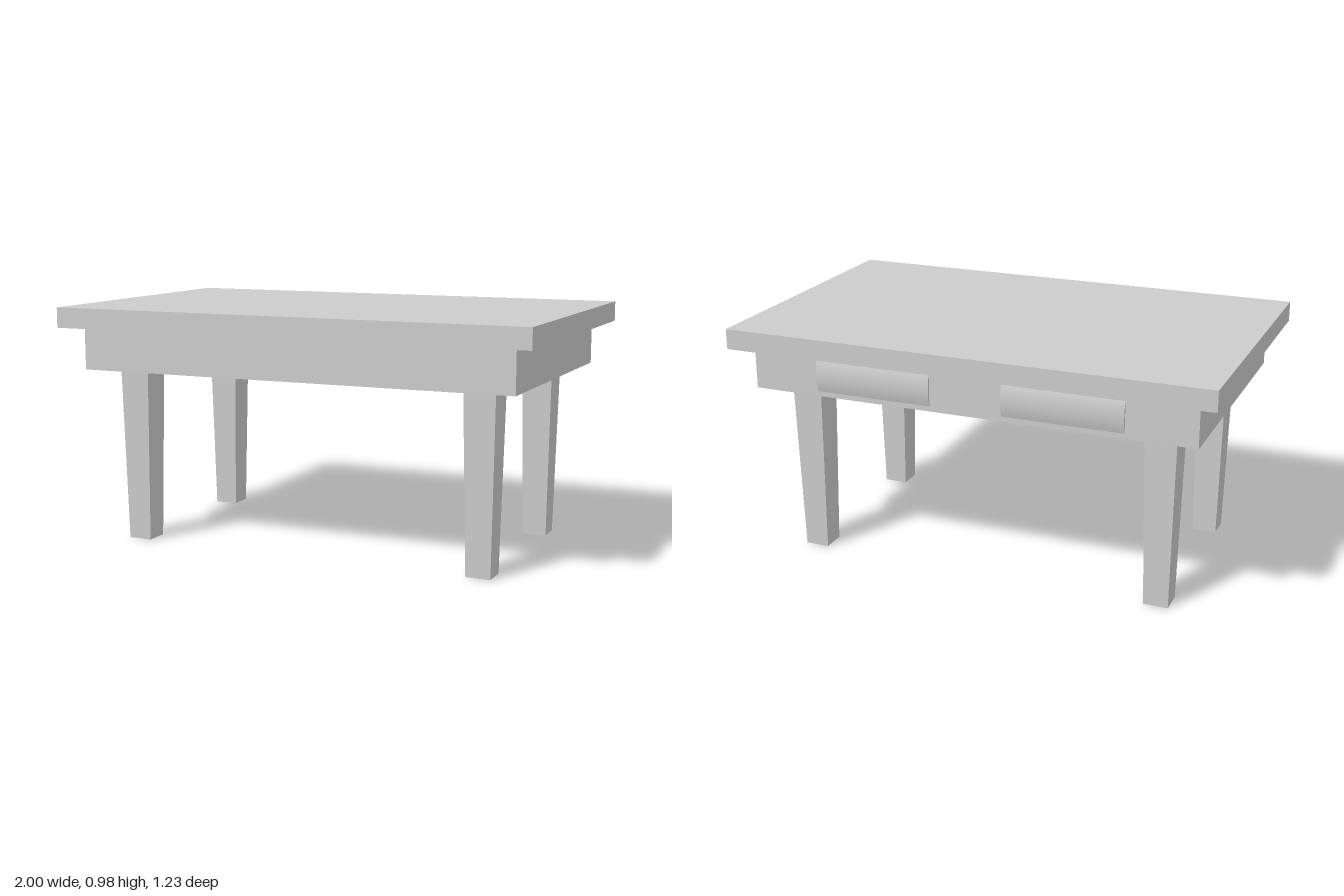
import * as THREE from 'three';
import { toCreasedNormals } from 'three/addons/utils/BufferGeometryUtils.js';

export function createModel() {
  const group = new THREE.Group();
  const material = new THREE.MeshStandardMaterial({ color: 0xcccccc });

  const add = (name, geometry, x = 0, y = 0, z = 0) => {
    const mesh = new THREE.Mesh(geometry, material);
    mesh.name = name;
    mesh.position.set(x, y, z);
    group.add(mesh);
  };
  const rectangle = (path, w, d) => path.moveTo(-w, -d).lineTo(w, -d).lineTo(w, d).lineTo(-w, d).closePath();

  // Slab top
  add('tableTop', new THREE.BoxGeometry(2, 0.083, 1.234), 0, 0.9425, 0);

  // Apron: a hollow rectangular frame under the top
  const frame = rectangle(new THREE.Shape(), 0.92, 0.54);
  frame.holes.push(rectangle(new THREE.Path(), 0.87, 0.49));
  const apron = new THREE.ExtrudeGeometry(frame, { depth: 0.176, bevelEnabled: false });
  apron.rotateX(-Math.PI / 2);
  add('apron', apron, 0, 0.725, 0);

  // Recessed panel closing the underside
  add('underPanel', new THREE.BoxGeometry(1.76, 0.13, 1), 0, 0.825, 0);

  // Two drawers at the back, with softly bowed fronts
  const profile = new THREE.Shape();
  profile.moveTo(-0.44, 0.745).lineTo(0.54, 0.745);
  profile.quadraticCurveTo(0.562, 0.8125, 0.54, 0.88);
  profile.lineTo(-0.44, 0.88).closePath();
  const extruded = new THREE.ExtrudeGeometry(profile, { depth: 0.49, bevelEnabled: false, curveSegments: 12 });
  extruded.rotateY(Math.PI / 2);
  const drawer = toCreasedNormals(extruded, Math.PI / 12);
  add('rightDrawer', drawer, -0.64);
  add('leftDrawer', drawer, 0.15);

  // Tapered square legs
  const leg = new THREE.CylinderGeometry(0.065 * Math.SQRT2, 0.05 * Math.SQRT2, 0.765, 4).toNonIndexed();
  leg.rotateY(Math.PI / 4);
  leg.computeVertexNormals();
  for (const x of [-0.75, 0.75]) {
    for (const z of [-0.375, 0.375]) {
      add(`${z > 0 ? 'front' : 'back'}${x > 0 ? 'Left' : 'Right'}Leg`, leg, x, 0.3825, z);
    }
  }
  return group;
}
